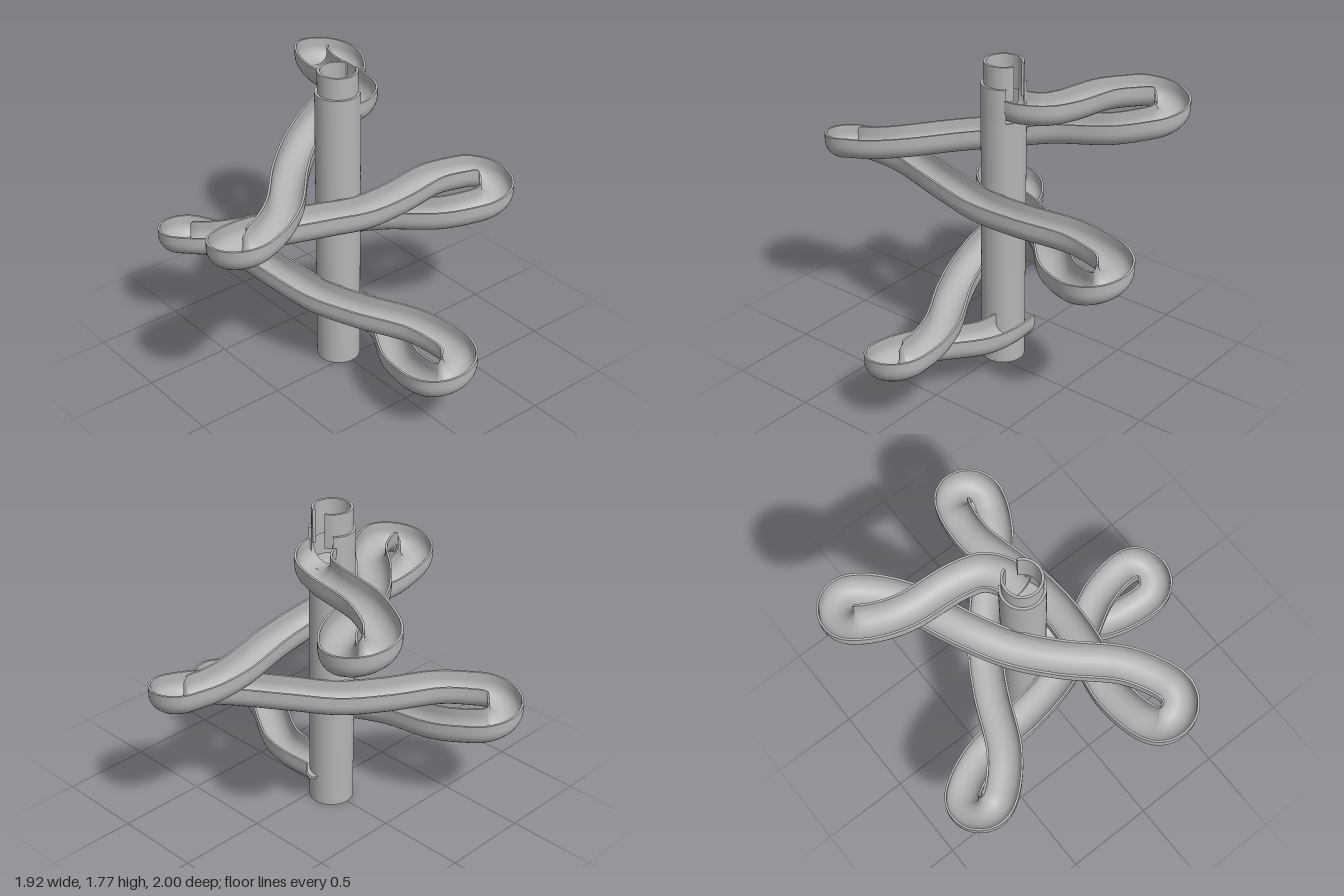
import * as THREE from 'three';
import { toCreasedNormals } from 'three/addons/utils/BufferGeometryUtils.js';

const CX = -0.08; // column axis
const W = 0.097;  // channel half width
const T = 0.012;  // channel wall thickness

// Upright tube wall with an optional gap on the back (-z)
function tubeWall(rOut, rIn, y0, y1, gap = 0) {
  const shape = new THREE.Shape();
  if (gap > 0) {
    const a = Math.PI / 2 + gap, b = Math.PI / 2 - gap + Math.PI * 2;
    shape.absarc(0, 0, rOut, a, b, false);
    shape.absarc(0, 0, rIn, b, a, true);
    shape.closePath();
  } else {
    shape.absarc(0, 0, rOut, 0, Math.PI * 2, false);
    const hole = new THREE.Path();
    hole.absarc(0, 0, rIn, 0, Math.PI * 2, true);
    shape.holes.push(hole);
  }
  const g = new THREE.ExtrudeGeometry(shape, { depth: y1 - y0, bevelEnabled: false, curveSegments: 48 });
  g.rotateX(-Math.PI / 2);
  g.translate(CX, y0, 0);
  return toCreasedNormals(g, 0.6);
}

// Centre line of the rim: five looped lobes, each turned -144 degrees and lower than the last
function trackPath() {
  const pts = [[-0.08, 1.59, -0.04], [-0.09, 1.588, -0.12], [-0.16, 1.582, -0.215], [-0.29, 1.572, -0.262]];
  const R = 0.103;
  for (let k = 0; k < 5; k++) {
    const ang = THREE.MathUtils.degToRad(216 - 144 * k);
    const c = Math.cos(ang), s = Math.sin(ang), y = 1.48 - 0.262 * k;
    const add = (u, v, dy) => pts.push([CX + u * c - v * s, y + dy, u * s + v * c]);
    if (k > 0) {
      add(0.065, 0.2, 0.11);
      add(0.3, 0.1, 0.092);
    }
    add(0.58, -0.055, 0.073);
    add(0.74, -0.098, 0.056);
    for (let i = -3; i <= 3; i++) {
      const a = i * Math.PI / 6;
      add(0.84 + R * Math.cos(a), R * Math.sin(a), -0.016 * i);
    }
    add(0.74, 0.098, -0.062);
    add(0.58, 0.055, -0.085);
    add(0.3, -0.1, -0.113);
  }
  pts.push([0.08, 0.312, -0.125], [-0.09, 0.305, -0.115]);
  return new THREE.CatmullRomCurve3(pts.map(p => new THREE.Vector3(...p)), false, 'centripetal');
}

// U-shaped cross-section of half width r, given as [side, height below the rim]
function uProfile(r) {
  const p = [[-r, 0]];
  for (let i = 0; i <= 16; i++) {
    const a = Math.PI + Math.PI * i / 16;
    p.push([r * Math.cos(a), -0.045 + r * Math.sin(a)]);
  }
  p.push([r, 0]);
  return p;
}

// Sweep an open profile along level frames
function sweep(frames, profile) {
  const pos = [], idx = [], n = profile.length;
  frames.forEach(({ p, side }, i) => {
    for (const [a, h] of profile) pos.push(p.x + side.x * a, p.y + h, p.z + side.z * a);
    if (i === 0) return;
    for (let j = 0; j < n - 1; j++) {
      const a = (i - 1) * n + j, b = a + 1, c = a + n, d = c + 1;
      idx.push(a, b, c, b, d, c);
    }
  });
  const g = new THREE.BufferGeometry();
  g.setAttribute('position', new THREE.Float32BufferAttribute(pos, 3));
  g.setIndex(idx);
  g.computeVertexNormals();
  return g;
}

export function createModel() {
  const model = new THREE.Group();
  const grey = new THREE.MeshStandardMaterial({ color: 0xb5b5b5, side: THREE.DoubleSide });
  const add = (name, geometry, parent = model) => {
    const mesh = new THREE.Mesh(geometry, grey);
    mesh.name = name;
    parent.add(mesh);
    return mesh;
  };

  // Hollow column, opened at the back where the track leaves it
  add('column', tubeWall(0.122, 0.108, 0, 1.46));
  add('columnOutlet', tubeWall(0.122, 0.108, 1.46, 1.65, 0.8));
  add('columnNeck', tubeWall(0.108, 0.094, 1.58, 1.77, 0.4));
  const floor = new THREE.CylinderGeometry(0.11, 0.11, 0.01, 48);
  floor.translate(CX, 1.45, 0);
  add('columnFloor', floor);

  // Track frames: point and level sideways direction
  const curve = trackPath();
  curve.arcLengthDivisions = 2000;
  const frames = [];
  for (let i = 0; i <= 700; i++) {
    const p = curve.getPointAt(i / 700), t = curve.getTangentAt(i / 700);
    frames.push({ p, side: new THREE.Vector3(-t.z, 0, t.x).normalize() });
  }

  // Channel: outer skin, inner skin and the two rims
  const track = new THREE.Group();
  track.name = 'track';
  model.add(track);
  const outer = uProfile(W), inner = uProfile(W - T);
  add('channelOutside', sweep(frames, outer), track);
  add('channelInside', sweep(frames, inner.slice().reverse()), track);
  add('leftRim', sweep(frames, [[-W + T, 0], [-W, 0]]), track);
  add('rightRim', sweep(frames, [[W, 0], [W - T, 0]]), track);

  // U-shaped end faces
  [['trackStart', frames[0]], ['trackEnd', frames[700]]].forEach(([name, f]) => {
    const shape = new THREE.Shape([...outer, ...inner.slice().reverse()].map(q => new THREE.Vector2(...q)));
    const cap = add(name, new THREE.ShapeGeometry(shape), track);
    cap.position.copy(f.p);
    cap.rotation.y = Math.atan2(-f.side.z, f.side.x);
  });
  return model;
}
